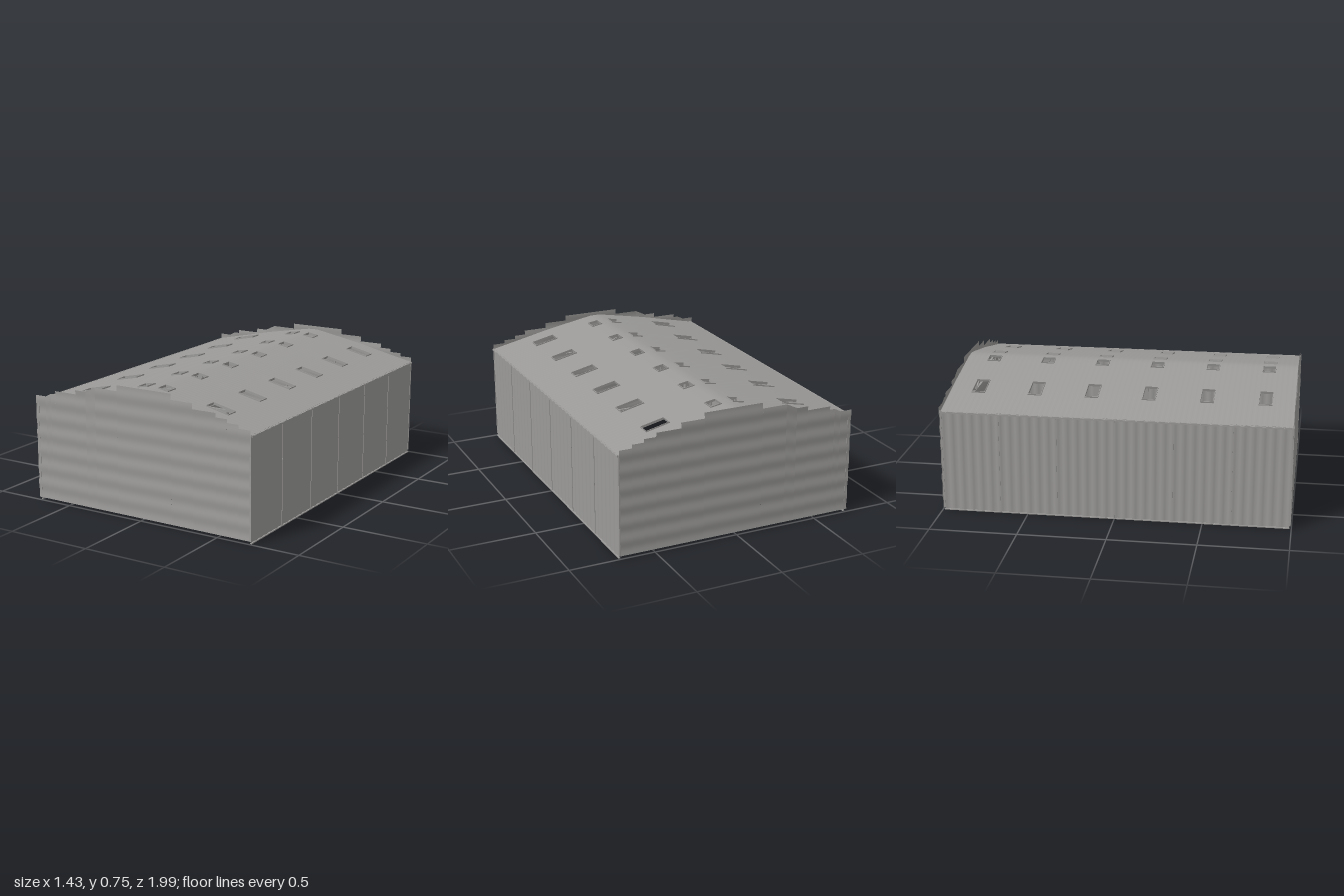
import * as THREE from 'three';
import { mergeGeometries } from 'three/addons/utils/BufferGeometryUtils.js';

// Surface over a grid of us x vs; cells for which skip() is true stay open
function sheet(us, vs, point, skip = () => false) {
  const pos = [], index = [], n = vs.length;
  for (const u of us) for (const v of vs) pos.push(...point(u, v));
  for (let i = 0; i < us.length - 1; i++) {
    for (let j = 0; j < n - 1; j++) {
      if (skip((us[i] + us[i + 1]) / 2, (vs[j] + vs[j + 1]) / 2)) continue;
      const a = i * n + j, b = a + n;
      index.push(a, b, b + 1, a, b + 1, a + 1);
    }
  }
  const g = new THREE.BufferGeometry();
  g.setAttribute('position', new THREE.Float32BufferAttribute(pos, 3));
  g.setIndex(index);
  g.computeVertexNormals();
  return g;
}

const range = (a, b, n) => Array.from({ length: n + 1 }, (_, i) => a + (b - a) * i / n);

// Half roof section, from ridge to eave
const ROOF = [[0, 0.735], [0.035, 0.733], [0.1, 0.722], [0.347, 0.676], [0.486, 0.645], [0.715, 0.595]];
function roofY(x) {
  x = Math.abs(x);
  const i = Math.max(1, ROOF.findIndex(p => p[0] >= x));
  const [x0, y0] = ROOF[i - 1], [x1, y1] = ROOF[i];
  return y0 + (y1 - y0) * (x - x0) / (x1 - x0);
}

// Stepped gable strips: x start, x end, top at start, top at end
const GABLE = [
  [-0.72, -0.65, 0.625, 0.625], [-0.65, -0.61, 0.625, 0.645], [-0.61, -0.58, 0.645, 0.645],
  [-0.58, -0.435, 0.665, 0.665], [-0.435, -0.365, 0.69, 0.69], [-0.365, -0.3, 0.69, 0.722],
  [-0.3, -0.15, 0.722, 0.722], [-0.15, 0.205, 0.755, 0.755], [0.205, 0.345, 0.722, 0.722],
  [0.345, 0.49, 0.69, 0.69], [0.49, 0.56, 0.665, 0.665], [0.56, 0.63, 0.645, 0.645],
  [0.63, 0.705, 0.625, 0.625],
];

const BAYS = [-0.825, -0.495, -0.165, 0.165, 0.495, 0.825];
const JOINTS = [-0.66, -0.33, 0, 0.33, 0.66];
const HOLES = [[0.035, 0.1], [0.347, 0.486]];
const HALF_Z = 0.0375;

export function createModel() {
  const model = new THREE.Group();
  const grey = new THREE.MeshStandardMaterial({ color: 0x9b9a98, side: THREE.DoubleSide });
  grey.name = 'grey metal';

  const add = (name, geometry) => {
    const mesh = new THREE.Mesh(geometry, grey);
    mesh.name = name;
    model.add(mesh);
    return mesh;
  };
  const box = (w, h, d, x, y, z) => new THREE.BoxGeometry(w, h, d).translate(x, y, z);
  // Square bar between two points
  const bar = (a, b, t) => {
    const p = new THREE.Vector3(...a), q = new THREE.Vector3(...b);
    const d = q.clone().sub(p);
    const turn = new THREE.Quaternion().setFromUnitVectors(new THREE.Vector3(0, 1, 0), d.clone().normalize());
    return new THREE.BoxGeometry(t, d.length(), t).applyQuaternion(turn)
      .translate(...p.add(q).multiplyScalar(0.5).toArray());
  };

  // Finely corrugated roof with open skylights
  const roofXs = [...ROOF.slice(1).map(p => -p[0]).reverse(), ...ROOF.map(p => p[0])];
  const isHole = (z, x) => HOLES.some(([a, b]) => Math.abs(x) > a && Math.abs(x) < b)
    && BAYS.some(c => Math.abs(z - c) < HALF_Z);
  add('roof', sheet(range(-0.99, 0.99, 264), roofXs,
    (z, x) => [x, roofY(x) + 0.0003 * Math.cos(z * Math.PI * 2 / 0.03), z], isHole));

  // Skylight frames, tilted with the roof
  for (const z of BAYS) for (const s of [-1, 1]) for (const [a, b] of HOLES) {
    const w = Math.hypot(b - a, roofY(b) - roofY(a)), t = 0.003, h = 0.014;
    const frame = add('skylightFrame', mergeGeometries([
      box(t, h, 2 * HALF_Z + t, -w / 2, 0, 0), box(t, h, 2 * HALF_Z + t, w / 2, 0, 0),
      box(w, h, t, 0, 0, -HALF_Z), box(w, h, t, 0, 0, HALF_Z),
    ]));
    frame.position.set(s * (a + b) / 2, (roofY(a) + roofY(b)) / 2, z);
    frame.rotation.z = s * Math.atan2(roofY(b) - roofY(a), b - a);
  }

  // Gable walls with horizontal waves and a stepped top
  for (const s of [-1, 1]) {
    const strips = GABLE.map(([x0, x1, y0, y1]) => sheet([x0, x1], range(0, 1, 60), (x, v) => {
      const top = y0 + (y1 - y0) * (x - x0) / (x1 - x0);
      const y = 0.015 + (top - 0.015) * v;
      return [x, y, s * (0.995 + 0.002 * Math.cos(y * Math.PI * 2 / 0.1))];
    }));
    add(s > 0 ? 'frontGable' : 'backGable', mergeGeometries(strips));
  }

  for (const s of [-1, 1]) {
    // Side wall with vertical ribs
    const rib = z => 0.003 * Math.max(-0.6, Math.min(0.6, Math.cos(z * Math.PI * 2 / 0.055)));
    add('sideWall', sheet(range(-0.988, 0.988, 288), [0.003, 0.598],
      (z, y) => [s * (0.704 + rib(z)), y, z]));

    // Corner posts, panel joints, eave gutter and base rail
    for (const z of [-0.991, 0.991]) add('cornerPost', box(0.008, 0.585, 0.01, s * 0.704, 0.3075, z));
    for (const z of JOINTS) add('panelJoint', box(0.006, 0.59, 0.006, s * 0.706, 0.3, z));
    add('eaveGutter', box(0.012, 0.01, 1.98, s * 0.708, 0.592, 0));
    add('baseRail', box(0.01, 0.006, 1.98, s * 0.706, 0.003, 0));

    // H-section columns
    for (const z of [-0.975, ...JOINTS, 0.975]) {
      add('column', mergeGeometries([
        box(0.005, 0.575, 0.03, s * 0.697, 0.3025, z),
        box(0.005, 0.575, 0.03, s * 0.66, 0.3025, z),
        box(0.036, 0.575, 0.005, s * 0.678, 0.3025, z),
      ]));
    }
  }

  // Shallow roof trusses: parallel chords with a zigzag web
  const nodes = range(-0.69, 0.69, 8);
  for (const z of [-0.97, -0.33, 0.33, 0.97]) {
    const upper = x => [x, 0.575, z], lower = x => [x, 0.5, z];
    const parts = [bar(lower(-0.69), lower(0.69), 0.014), bar(upper(-0.69), upper(0.69), 0.012)];
    nodes.forEach((x, i) => {
      parts.push(bar(lower(x), upper(x), 0.007));
      if (i === 8) return;
      const next = nodes[i + 1];
      parts.push(i % 2 ? bar(upper(x), lower(next), 0.008) : bar(lower(x), upper(next), 0.008));
    });
    add('roofTruss', mergeGeometries(parts));
  }

  return model;
}
